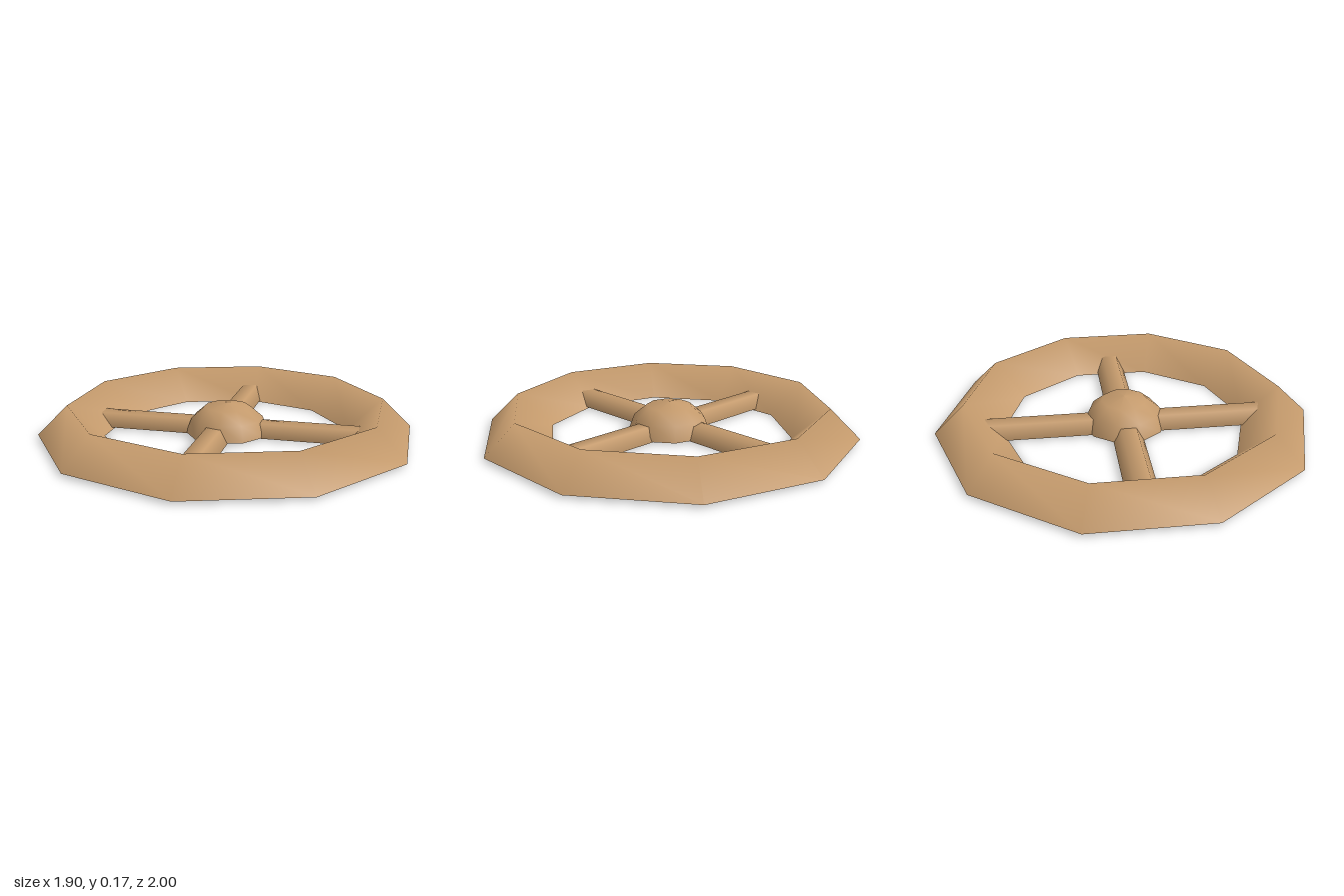
import * as THREE from 'three';

export function createModel() {
  const model = new THREE.Group();
  model.name = 'wheel';
  const wood = new THREE.MeshStandardMaterial({ color: 0xc49a6c, side: THREE.DoubleSide });
  wood.name = 'wood';

  const add = (name, geometry) => {
    const mesh = new THREE.Mesh(geometry, wood);
    mesh.name = name;
    model.add(mesh);
    return mesh;
  };

  // Ten-sided shell turned from a short profile, open underneath
  const turned = (name, points) =>
    add(name, new THREE.LatheGeometry(points.map(([r, y]) => new THREE.Vector2(r, y)), 10));

  // Rim with a single ridge, and the domed hub
  turned('rim', [[1, 0.015], [0.84, 0.172], [0.65, 0]]);
  turned('hub', [[0.22, 0.01], [0.19, 0.09], [0.12, 0.15], [0, 0.17]]);

  // Half-hexagon spoke lying along z from one radius to another
  const spoke = (name, inner, outer, angle, x, z) => {
    const g = new THREE.CylinderGeometry(0.08, 0.08, outer - inner, 3, 1, false, Math.PI / 2, Math.PI);
    g.rotateX(Math.PI / 2);
    g.translate(0, 0, (inner + outer) / 2);
    g.rotateY(angle);
    add(name, g).position.set(x, 0.008, z);
  };
  spoke('frontSpoke', 0.11, 0.74, 0, -0.03, 0);
  spoke('backSpoke', 0.11, 0.75, Math.PI, -0.03, 0);
  spoke('leftSpoke', 0.11, 0.71, Math.PI / 2, 0, 0);
  spoke('rightSpoke', 0.11, 0.74, -Math.PI / 2, 0, 0);

  return model;
}
